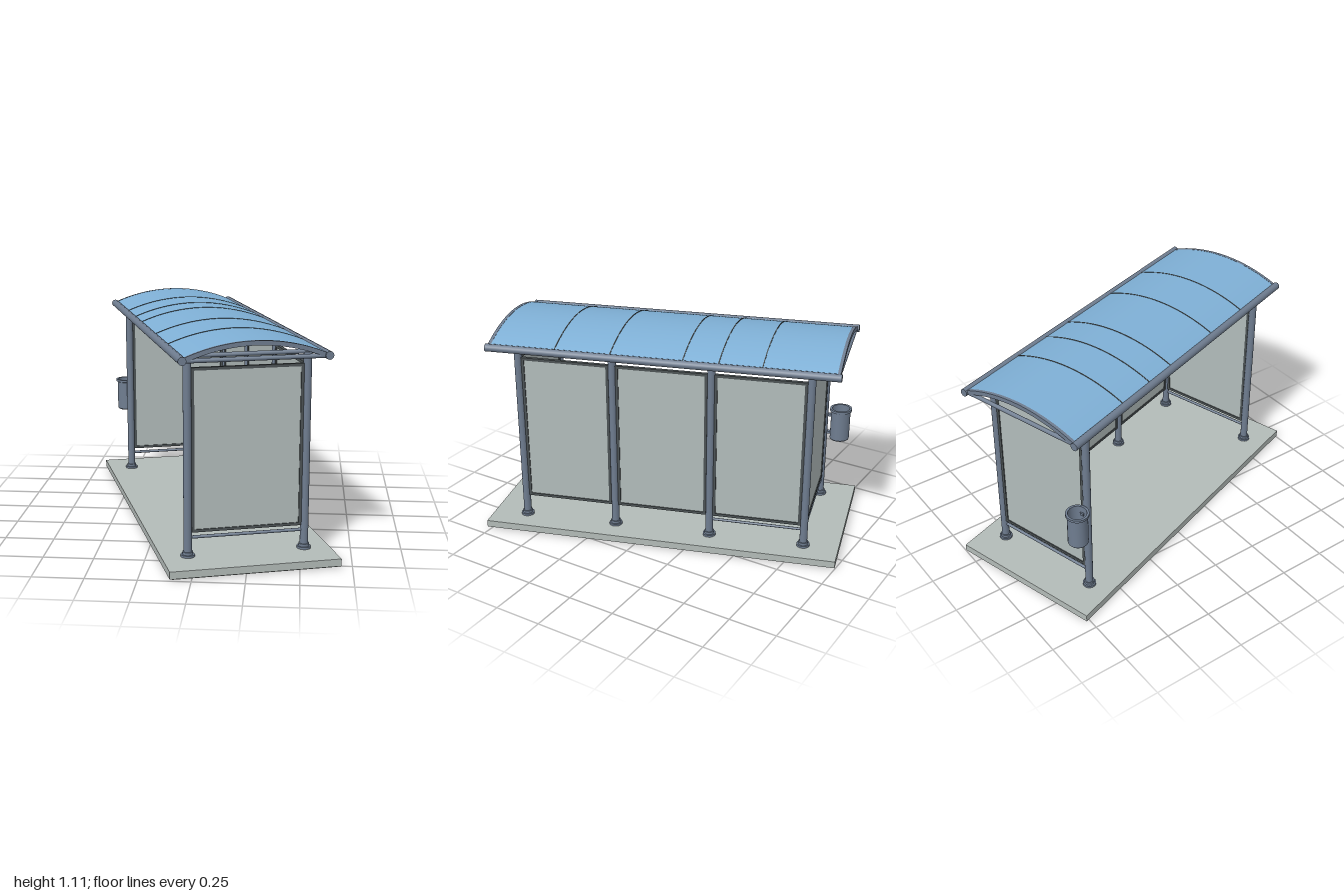
import * as THREE from 'three';
import { toCreasedNormals } from 'three/addons/utils/BufferGeometryUtils.js';

const paint = (name, color, side = THREE.FrontSide) => {
  const m = new THREE.MeshStandardMaterial({ color, side });
  m.name = name;
  return m;
};

export function createModel() {
  const steel = paint('slate steel', 0x6f7d90);
  const dark = paint('dark frame', 0x4c5355);
  const glass = paint('grey panel', 0xb2bcbb);
  const blue = paint('blue roof', 0x7fb0d6, THREE.DoubleSide);
  const stone = paint('pale concrete', 0xb3bbb8);
  const steelOpen = paint('bin steel', 0x6f7d90, THREE.DoubleSide);

  const group = new THREE.Group();
  group.name = 'busShelter';

  // The shelter is laid out square (x across, z along) and then turned on the ground
  const turn = new THREE.Matrix4().makeBasis(
    new THREE.Vector3(0.96, 0, -0.278),
    new THREE.Vector3(0, 1, 0),
    new THREE.Vector3(0.32, 0, 0.947)
  );
  const add = (name, geo, mat) => {
    const mesh = new THREE.Mesh(geo.applyMatrix4(turn), mat);
    mesh.name = name;
    group.add(mesh);
  };
  const box = (name, mat, w, h, d, x, y, z) =>
    add(name, new THREE.BoxGeometry(w, h, d).translate(x, y, z), mat);
  const post = (name, mat, r, y0, y1, x, z) =>
    add(name, new THREE.CylinderGeometry(r, r, y1 - y0, 16).translate(x, (y0 + y1) / 2, z), mat);
  const tubeX = (name, r, len, x, y, z) =>
    add(name, new THREE.CylinderGeometry(r, r, len, 12).rotateZ(Math.PI / 2).translate(x, y, z), steel);
  const tubeZ = (name, r, len, x, y, z) =>
    add(name, new THREE.CylinderGeometry(r, r, len, 12).rotateX(Math.PI / 2).translate(x, y, z), steel);

  const PX = 0.288, PZ = 0.752, MID = 0.255;

  // Concrete base with a slightly bevelled lower edge
  box('baseSlab', stone, 0.83, 0.037, 1.87, 0, 0.0265, 0);
  box('baseFoot', stone, 0.8, 0.01, 1.84, 0, 0.005, 0);

  // Posts with foot flanges: four along the wall, two on the open side
  const posts = [[-PX, -PZ], [-PX, PZ], [PX, -PZ], [PX, -MID], [PX, MID], [PX, PZ]];
  for (const [x, z] of posts) {
    post('post', steel, 0.02, 0.045, 1.02, x, z);
    post('postFlange', steel, 0.034, 0.045, 0.056, x, z);
    post('postCollar', steel, 0.026, 0.056, 0.07, x, z);
  }

  // Framed panel spanning between two posts, along x or along z
  const Y0 = 0.165, Y1 = 0.965, BAR = 0.014;
  const panel = (alongX, span, x, z) => {
    const part = (name, mat, len, h, t, offset, y) => alongX
      ? box(name, mat, len, h, t, x + offset, y, z)
      : box(name, mat, t, h, len, x, y, z + offset);
    const mid = (Y0 + Y1) / 2;
    part('wallPanel', glass, span - 0.01, Y1 - Y0 - 0.01, 0.008, 0, mid);
    for (const s of [-1, 1]) {
      part('panelFrameRail', dark, span, BAR, 0.018, 0, mid + s * (Y1 - Y0 - BAR) / 2);
      part('panelFrameStile', dark, BAR, Y1 - Y0, 0.018, s * (span - BAR) / 2, mid);
    }
  };
  for (const s of [-1, 1]) {
    panel(true, 2 * PX - 0.036, 0, s * PZ);
    tubeX('lowerEndRail', 0.008, 2 * PX, 0, 0.14, s * PZ);
  }
  const stops = [-PZ, -MID, MID, PZ];
  for (let i = 0; i < 3; i++) {
    panel(false, stops[i + 1] - stops[i] - 0.036, PX, (stops[i] + stops[i + 1]) / 2);
  }
  tubeZ('lowerWallRail', 0.007, PZ - MID, PX, 0.14, -(PZ + MID) / 2);

  // Roof edge tubes, and cross beams over the posts
  for (const s of [-1, 1]) {
    tubeZ('roofEdgeTube', 0.02, 1.8, s * 0.343, 1.025, 0);
    tubeX('roofEndTube', 0.011, 0.68, 0, 1.022, s * 0.88);
  }
  for (const z of stops) tubeX('crossBeam', 0.011, 0.68, 0, 1.02, z);

  // Arched strips: outer radius r, thickness t, depth d along z
  const R = 0.86, CY = 1.104 - R, HALF = Math.asin(0.345 / R);
  const arch = (name, mat, r, t, d, z) => {
    const shape = new THREE.Shape();
    shape.absarc(0, 0, r, Math.PI / 2 - HALF, Math.PI / 2 + HALF, false);
    shape.absarc(0, 0, r - t, Math.PI / 2 + HALF, Math.PI / 2 - HALF, true);
    const geo = new THREE.ExtrudeGeometry(shape, { depth: d, bevelEnabled: false, curveSegments: 20 });
    add(name, toCreasedNormals(geo.translate(0, CY, z - d / 2), 0.5), mat);
  };
  arch('roofSheet', blue, R, 0.007, 1.77, 0);
  for (const z of [-0.515, -0.298, -0.118, 0.252, 0.54]) {
    arch('roofRib', steel, R - 0.006, 0.018, 0.018, z);
    arch('roofSeam', dark, R + 0.002, 0.004, 0.005, z);
  }
  for (const s of [-1, 1]) arch('roofEndRib', steel, R + 0.001, 0.022, 0.016, s * 0.884);

  // Litter bin hung on the rear corner post
  const bin = [[0, 0.395], [0.048, 0.395], [0.052, 0.4], [0.052, 0.56], [0.059, 0.563],
    [0.059, 0.576], [0.047, 0.576], [0.047, 0.41], [0, 0.41]];
  const binGeo = new THREE.LatheGeometry(bin.map(([x, y]) => new THREE.Vector2(x, y)), 24);
  add('litterBin', toCreasedNormals(binGeo.translate(-0.296, 0, -0.838), 0.6), steelOpen);
  for (const y of [0.43, 0.535]) box('binBracket', steel, 0.02, 0.014, 0.05, -0.29, y, -0.775);

  return group;
}
